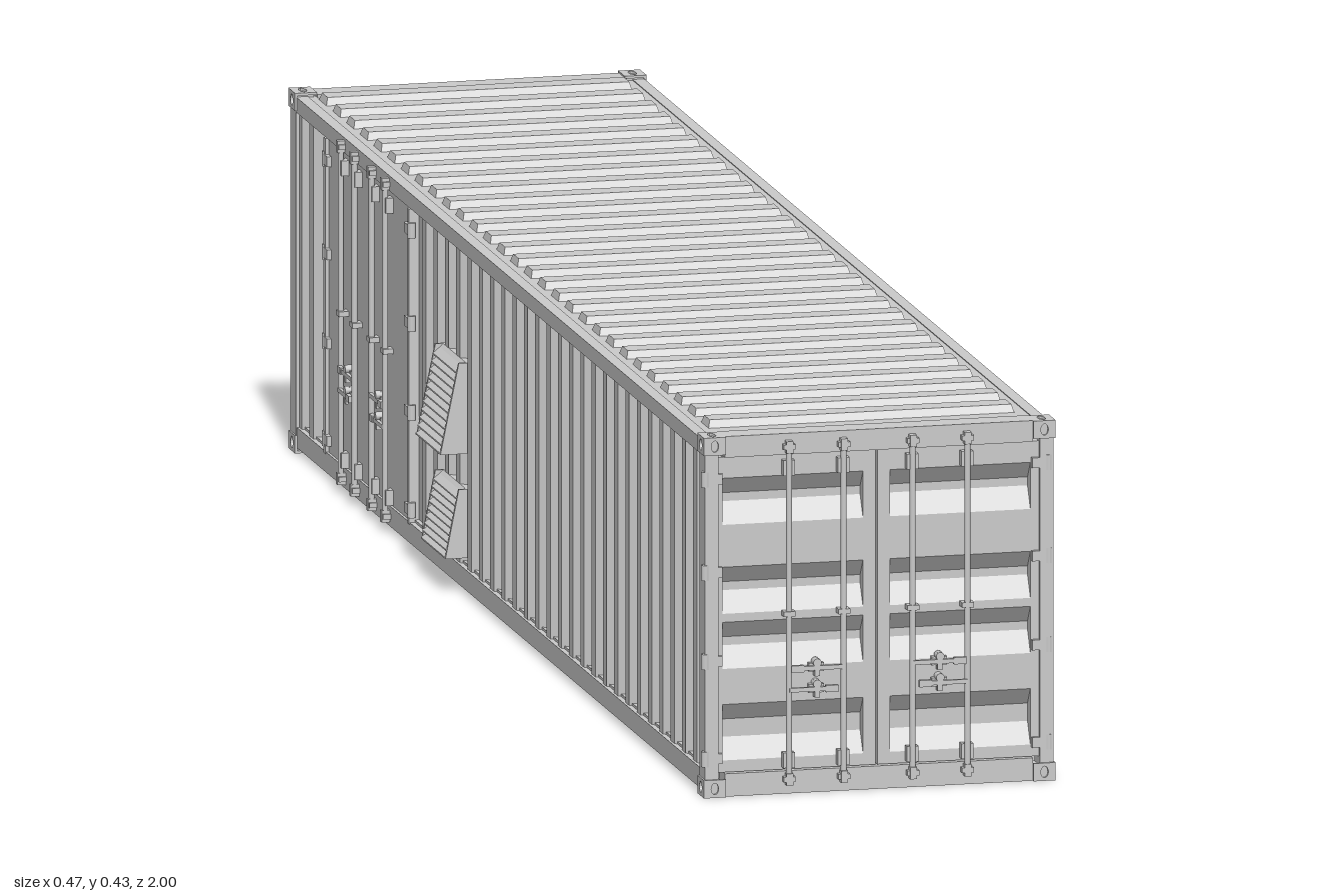
import * as THREE from 'three';

const mat = new THREE.MeshStandardMaterial({ color: 0xcccccc, side: THREE.DoubleSide });
const W = 0.208, H = 0.425, FRONT = 0.989, BACK = -1;

function add(parent, name, geo, x = 0, y = 0, z = 0) {
  const m = new THREE.Mesh(geo, mat);
  m.name = name;
  m.position.set(x, y, z);
  parent.add(m);
  return m;
}

// Box given by its limits on each axis
function box(parent, name, x0, x1, y0, y1, z0, z1) {
  return add(parent, name, new THREE.BoxGeometry(x1 - x0, y1 - y0, z1 - z0),
    (x0 + x1) / 2, (y0 + y1) / 2, (z0 + z1) / 2);
}

function rod(parent, name, r, len, x, y, z) {
  return add(parent, name, new THREE.CylinderGeometry(r, r, len, 10), x, y, z);
}

function frame(parent, name, x, z, turn) {
  const g = new THREE.Group();
  g.name = name;
  g.position.set(x, 0, z);
  g.rotation.y = turn;
  parent.add(g);
  return g;
}

const extrude = (shape, depth) =>
  new THREE.ExtrudeGeometry(shape, { depth, bevelEnabled: false, curveSegments: 8 });
const shapeOf = pts => new THREE.Shape(pts.map(p => new THREE.Vector2(p[0], p[1])));

// Folded sheet: points are (along x, outward z), swept up by height
function sheet(pts, height, t = 0.004) {
  const back = pts.map(([x, o]) => [x, -(o - t)]).reverse();
  return extrude(shapeOf([...pts.map(([x, o]) => [x, -o]), ...back]), height).rotateX(-Math.PI / 2);
}

// Corner block: solid core with slotted plates on its three outer faces
function corner(parent, sx, sy, sz) {
  const g = new THREE.Group();
  g.name = 'cornerCasting';
  const w = 0.026, h = 0.021, d = 0.032, t = 0.003;
  const plate = (a, b) => {
    const s = shapeOf([[-a / 2, -b / 2], [a / 2, -b / 2], [a / 2, b / 2], [-a / 2, b / 2]]);
    const hole = new THREE.Path();
    hole.absellipse(0, 0, a * 0.17, b * 0.32, 0, Math.PI * 2);
    s.holes.push(hole);
    return extrude(s, t);
  };
  add(g, 'castingCore', new THREE.BoxGeometry(w - 2 * t, h - 2 * t, d - 2 * t));
  add(g, 'endPlate', plate(w, h), 0, 0, sz > 0 ? d / 2 - t : -d / 2);
  add(g, 'sidePlate', plate(d, h).rotateY(Math.PI / 2), sx > 0 ? w / 2 - t : -w / 2, 0, 0);
  add(g, 'capPlate', plate(w, d).rotateX(-Math.PI / 2), 0, sy > 0 ? h / 2 - t : -h / 2, 0);
  g.position.set(sx * (W + 0.001 - w / 2), sy > 0 ? H - h / 2 : h / 2,
    sz > 0 ? FRONT - d / 2 : BACK + d / 2);
  parent.add(g);
}

// Pair of door leaves with lock bars; surface at local z = 0
function doors(g, pressed) {
  const y0 = 0.028, y1 = 0.4, depth = 0.014;
  for (const s of [-1, 1]) {
    const span = (name, a, b, lo, hi, z0, z1) =>
      box(g, name, Math.min(s * a, s * b), Math.max(s * a, s * b), lo, hi, z0, z1);
    if (pressed) {
      // Leaf with four pressed horizontal recesses
      const pts = [[y0, 0]];
      for (const [a, b] of [[0.042, 0.108], [0.15, 0.205], [0.215, 0.27], [0.32, 0.375]])
        pts.push([a, 0], [a + 0.025, -depth], [b - 0.02, -depth], [b, 0]);
      pts.push([y1, 0]);
      add(g, 'doorPanel', sheet(pts, 0.167).rotateZ(Math.PI / 2), s > 0 ? 0.183 : -0.016, 0, 0);
      span('doorStile', 0.001, 0.016, y0, y1, -depth - 0.004, 0);
      span('doorStile', 0.183, 0.2, y0, y1, -depth - 0.004, 0);
    } else {
      span('doorPanel', 0.002, 0.196, y0, y1, -0.008, 0);
      span('doorStile', 0.196, 0.204, y0, y1, -0.008, 0.004);
    }
    for (const y of [0.045, 0.16, 0.265, 0.375]) {
      span('hingeLeaf', 0.184, 0.203, y - 0.006, y + 0.006, 0, 0.005);
      rod(g, 'hingePin', 0.005, 0.018, s * 0.204, y, 0.001);
    }
    for (const x of [0.041, 0.106]) {
      rod(g, 'lockBar', 0.0035, 0.39, s * x, 0.215, 0.008);
      for (const y of [0.04, 0.385])
        span('barBracket', x - 0.007, x + 0.007, y - 0.009, y + 0.009, 0, 0.009);
      span('barGuide', x - 0.007, x + 0.007, 0.21, 0.216, 0, 0.012);
      for (const y of [0.018, 0.41]) {
        span('camKeeper', x - 0.007, x + 0.007, y - 0.003, y + 0.003, 0, 0.012);
        span('camEnd', x - 0.004, x + 0.004, y - 0.007, y + 0.007, 0, 0.013);
      }
    }
    // Handles with their catches
    for (const [y, a, b, c] of [[0.148, 0.041, 0.104, 0.073], [0.123, 0.048, 0.106, 0.073]]) {
      span('handle', a, b, y - 0.0025, y + 0.0025, 0.008, 0.012);
      span('handleGrip', y > 0.13 ? b - 0.015 : a, y > 0.13 ? b : a + 0.015,
        y - 0.004, y + 0.004, 0.008, 0.013);
      span('catchPlate', c - 0.009, c + 0.009, y - 0.005, y + 0.005, 0, 0.007);
      const hub = rod(g, 'catchHub', 0.005, 0.012, s * c, y + 0.006, 0.006);
      hub.rotation.x = Math.PI / 2;
      span('catchTab', c - 0.003, c + 0.003, y - 0.01, y + 0.01, 0.002, 0.011);
    }
  }
}

// Sloped hood with a louvred face between two cheeks
function hood(g, x, y0, y1, reach, slats) {
  const half = 0.056, top = 0.009, pts = [[-0.012, y0], [-0.012, y1], [0, y1]];
  for (let i = 0; i < slats; i++) {
    const at = k => top + (reach - top) * k / slats, yy = k => y1 - 0.004 - (y1 - y0 - 0.004) * k / slats;
    pts.push([at(i) - 0.005, yy(i)], [at(i + 1) + 0.001, yy(i + 0.7)], [at(i + 1) + 0.001, yy(i + 0.9)]);
  }
  pts.push([reach, y0]);
  const put = (name, p, w, cx) => add(g, name,
    extrude(shapeOf(p), w).rotateY(-Math.PI / 2), cx + w / 2, 0, 0);
  put('ventLouvres', pts, 2 * half, x);
  const cheek = [[-0.012, y0], [-0.012, y1], [top, y1], [reach, y0]];
  for (const s of [-1, 1]) put('ventCheek', cheek, 0.004, x + s * half);
}

export function createModel() {
  const model = new THREE.Group();
  model.name = 'shippingContainer';

  // Corner blocks, posts and rails
  for (const sx of [-1, 1]) {
    for (const sz of [-1, 1]) {
      for (const sy of [-1, 1]) corner(model, sx, sy, sz);
      const z = sz > 0 ? FRONT - 0.016 : BACK + 0.016;
      add(model, 'cornerPost', new THREE.BoxGeometry(0.016, 0.39, 0.026), sx * 0.199, H / 2, z);
    }
    add(model, 'topRail', new THREE.BoxGeometry(0.014, 0.018, 1.94), sx * 0.2, 0.411, -0.005);
    add(model, 'bottomRail', new THREE.BoxGeometry(0.006, 0.024, 1.94), sx * 0.203, 0.018, -0.005);
    add(model, 'bottomRailFlange', new THREE.BoxGeometry(0.022, 0.003, 1.94), sx * 0.195, 0.0075, -0.005);
  }
  box(model, 'frontHeader', -0.183, 0.183, 0.4, 0.425, 0.955, 0.985);
  box(model, 'frontSill', -0.183, 0.183, 0, 0.027, 0.955, 0.985);
  box(model, 'backHeader', -0.183, 0.183, 0.405, 0.423, -0.997, -0.965);
  box(model, 'backSill', -0.183, 0.183, 0.002, 0.026, -0.997, -0.965);

  // Floor on channel-shaped cross members
  box(model, 'floor', -0.2, 0.2, 0.027, 0.033, -0.98, 0.965);
  for (let i = 0; i < 37; i++) {
    const z = -0.945 + i * 0.0522;
    box(model, 'crossMemberWeb', -0.2, 0.2, 0.008, 0.028, z, z + 0.004);
    box(model, 'crossMemberFlange', -0.2, 0.2, 0.007, 0.01, z, z + 0.018);
  }

  // Roof with raised, tapered ribs
  box(model, 'roof', -0.2, 0.2, 0.413, 0.419, -0.985, 0.975);
  for (let i = 0; i < 29; i++) {
    const geo = new THREE.BoxGeometry(0.364, 0.01, 0.037), p = geo.attributes.position;
    for (let k = 0; k < p.count; k++) if (p.getY(k) > 0) {
      p.setX(k, p.getX(k) * 0.985);
      p.setZ(k, p.getZ(k) * 0.72);
    }
    geo.computeVertexNormals();
    add(model, 'roofRib', geo, -0.002, 0.423, -0.937 + i * 0.0653);
  }

  // Corrugated side walls with vent hoods; the left/right frames look outward
  for (const s of [-1, 1]) {
    const side = frame(model, s > 0 ? 'leftSide' : 'rightSide', s * 0.203, 0, s * Math.PI / 2);
    const pitch = 0.054, pts = [];
    for (let i = 0; i < 36; i++) {
      const x = -0.977 + i * pitch;
      const flat = s < 0 && x + pitch > -0.845 && x < -0.43;
      const d = flat ? -0.008 : -0.012, o = flat ? d : 0;
      pts.push([x, o], [x + 0.018, o], [x + 0.027, d], [x + 0.045, d]);
    }
    pts.push([0.967, 0]);
    add(side, 'corrugatedWall', sheet(pts, 0.38), 0, 0.026, 0);
    hood(side, s * 0.23, 0.165, 0.272, 0.031, 11);
    hood(side, s * 0.23, 0.042, 0.123, 0.025, 9);
  }

  // Front cargo doors and side cargo doors
  doors(frame(model, 'frontDoors', -0.002, 0.981, 0), true);
  doors(frame(model, 'sideDoors', -0.203, -0.635, -Math.PI / 2), false);

  // Back wall with a personnel door and a small grille
  const back = frame(model, 'backEnd', 0, -0.993, Math.PI);
  const prof = [];
  for (const x of [-0.17, -0.125]) prof.push([x - 0.022, 0], [x - 0.008, 0], [x, -0.011], [x + 0.014, -0.011]);
  prof.push([-0.1, 0]);
  const mirrored = prof.map(([x, o]) => [-x, o]).reverse();
  add(back, 'backWall', sheet([...prof, ...mirrored], 0.385), 0, 0.024, 0);
  box(back, 'entryDoor', -0.08, 0.086, 0.032, 0.4, -0.002, 0.002);
  for (const x of [-0.085, 0.088]) box(back, 'entryDoorJamb', x - 0.003, x + 0.003, 0.028, 0.403, -0.002, 0.004);
  for (const y of [0.055, 0.15, 0.245, 0.335]) rod(back, 'entryHinge', 0.004, 0.016, -0.068, y, 0.003);
  const knob = rod(back, 'entryKnob', 0.005, 0.008, 0.055, 0.21, 0.004);
  knob.rotation.x = Math.PI / 2;
  for (const y of [0.37, 0.398]) box(back, 'grilleFrame', -0.055, 0.06, y - 0.002, y + 0.002, 0, 0.005);
  for (let i = 0; i < 6; i++) box(back, 'grilleBar', -0.055 + i * 0.0226, -0.053 + i * 0.0226, 0.37, 0.398, 0, 0.005);

  return model;
}
